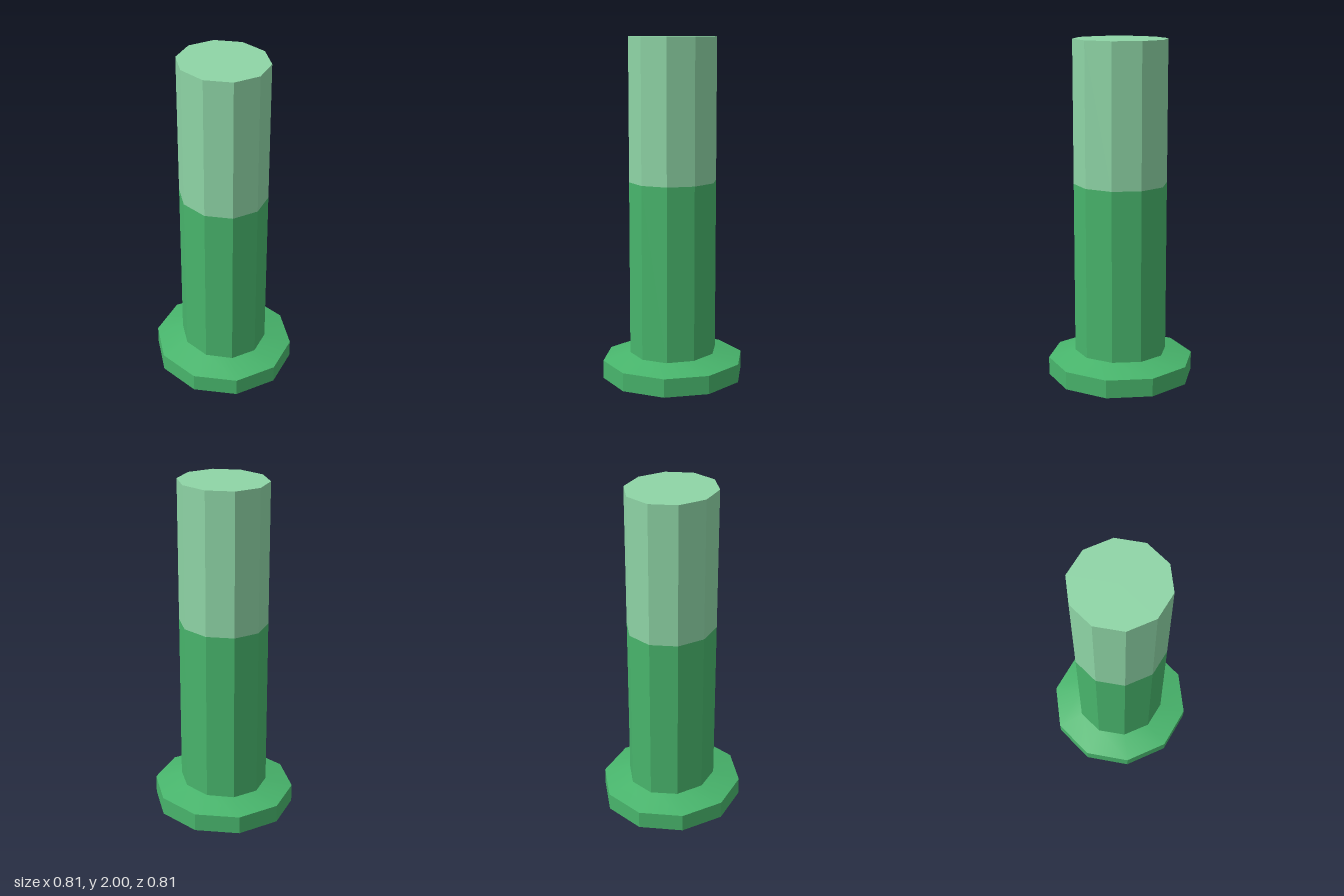
import * as THREE from 'three';
import { toCreasedNormals } from 'three/addons/utils/BufferGeometryUtils.js';

const SIDES = 10;

// Ten-sided turned part: profile runs bottom to top as [radius, height]
function turned(name, profile, depthScale, material) {
  const points = profile.map(([r, y]) => new THREE.Vector2(r, y));
  const lathe = new THREE.LatheGeometry(points, SIDES, Math.PI / 2);
  lathe.scale(1, 1, depthScale);
  const mesh = new THREE.Mesh(toCreasedNormals(lathe, 0.5), material);
  mesh.name = name;
  return mesh;
}

export function createModel() {
  const green = new THREE.MeshStandardMaterial({ color: 0x48b56c });
  green.name = 'green';
  const paleGreen = new THREE.MeshStandardMaterial({ color: 0x8ed5a6 });
  paleGreen.name = 'pale green';

  const model = new THREE.Group();
  model.name = 'post';

  // Bevelled foot, closed underneath
  model.add(turned('foot', [[0, 0], [0.25, 0], [0.407, 0.05], [0.407, 0.155], [0.24, 0.2]], 1.04, green));
  // Lower shaft
  model.add(turned('lowerShaft', [[0.248, 0.19], [0.248, 1.19]], 1.08, green));
  // Pale upper shaft with a flat cap
  model.add(turned('upperShaft', [[0.248, 1.19], [0.248, 2], [0, 2]], 1.08, paleGreen));

  return model;
}
